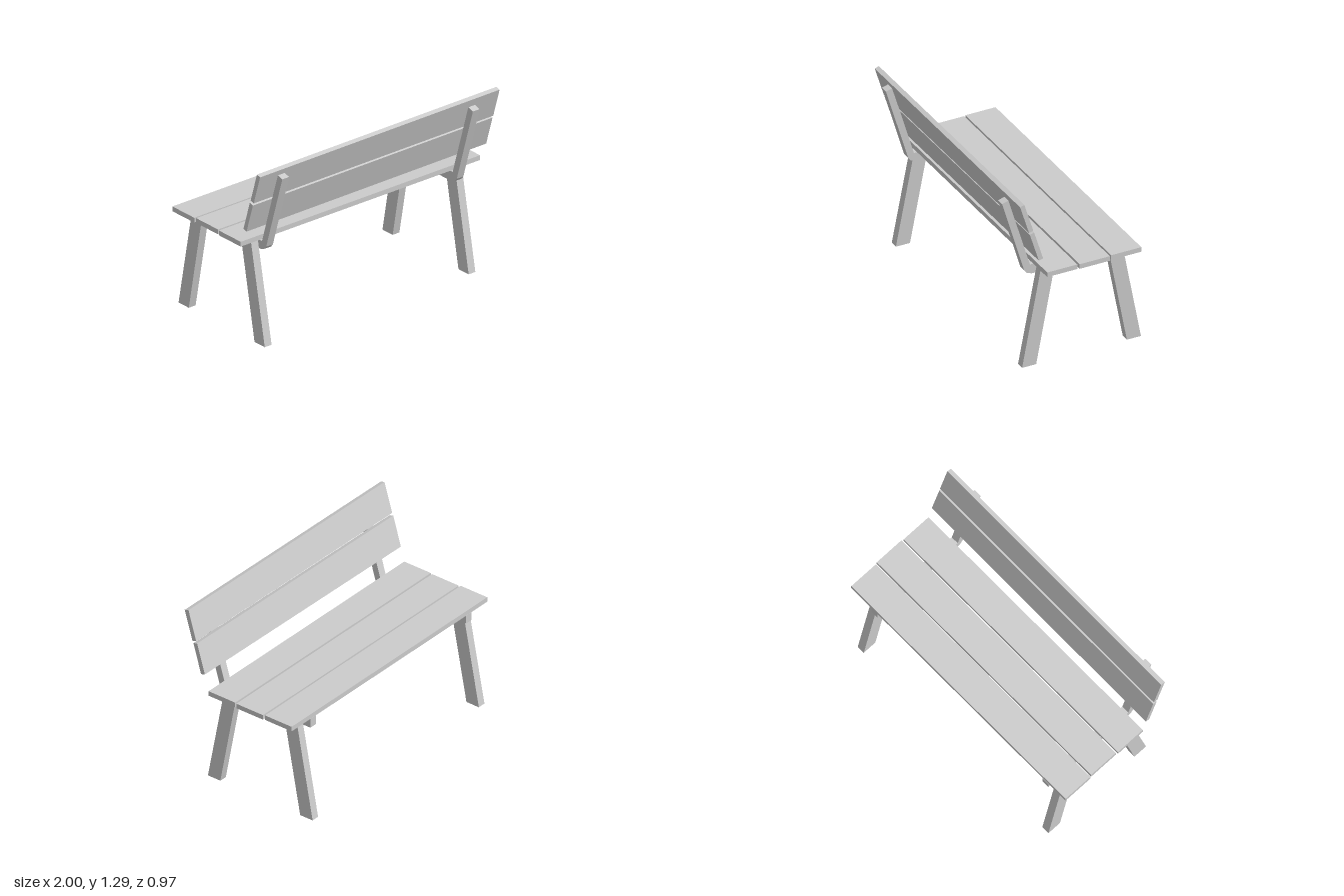
import * as THREE from 'three';

const material = new THREE.MeshStandardMaterial({ color: 0xcccccc, flatShading: true });

// Extrudes a [z, y] outline sideways, from x0 to x1
function sideProfile(name, points, x0, x1) {
  const shape = new THREE.Shape(points.map(([z, y]) => new THREE.Vector2(-z, y)));
  const geometry = new THREE.ExtrudeGeometry(shape, { depth: x1 - x0, bevelEnabled: false });
  geometry.rotateY(Math.PI / 2);
  geometry.translate(x0, 0, 0);
  // rotateY turns the outline's first axis into -z, which restores z
  const mesh = new THREE.Mesh(geometry, material);
  mesh.name = name;
  return mesh;
}

export function createModel() {
  const bench = new THREE.Group();
  bench.name = 'bench';

  // Three seat boards, slightly shifted sideways
  [[0.152, -0.003], [-0.08, 0.002], [-0.31, -0.004]].forEach(([z, x], i) => {
    const board = new THREE.Mesh(new THREE.BoxGeometry(1.99, 0.034, 0.218), material);
    board.position.set(x, 0.728, z);
    board.name = `seatBoard${i + 1}`;
    bench.add(board);
  });

  // Two leaning back boards, not quite level
  const lean = Math.atan2(0.068, 0.22);
  [[0.337, 0.953, 0.006], [0.408, 1.178, 0.005]].forEach(([z, y, tilt], i) => {
    const board = new THREE.Mesh(new THREE.BoxGeometry(1.99, 0.218, 0.032), material);
    board.rotation.set(lean, 0, tilt);
    board.position.set(-0.003, y, z);
    board.name = `backBoard${i + 1}`;
    bench.add(board);
  });

  // Each side: an angled frame carrying seat and back, and two splayed legs
  const sides = [
    { name: 'left', frame: [0.745, 0.8], leg: [0.804, 0.86], lift: 0, shift: 0 },
    { name: 'right', frame: [-0.84, -0.784], leg: [-0.9, -0.843], lift: 0.008, shift: 0.01 },
  ];
  for (const { name, frame, leg, lift, shift } of sides) {
    const top = 0.711;
    const foot = lift * 1.6;
    bench.add(
      sideProfile(`${name}Frame`, [
        [-0.42, 0.645 + lift], [-0.42, top], [0.284, top], [0.44, 1.227 + lift],
        [0.486, 1.214 + lift], [0.325, 0.677 + lift], [0.308, 0.656 + lift], [0.273, 0.642 + lift],
      ], ...frame),
      sideProfile(`${name}BackLeg`, [
        [0.135 + shift, top], [0.235 + shift, top], [0.373 + shift, foot], [0.271 + shift, foot],
      ], ...leg),
      sideProfile(`${name}FrontLeg`, [
        [-0.352 + shift, top], [-0.25 + shift, top], [-0.384 + shift, foot], [-0.486 + shift, foot],
      ], ...leg),
    );
  }
  return bench;
}
